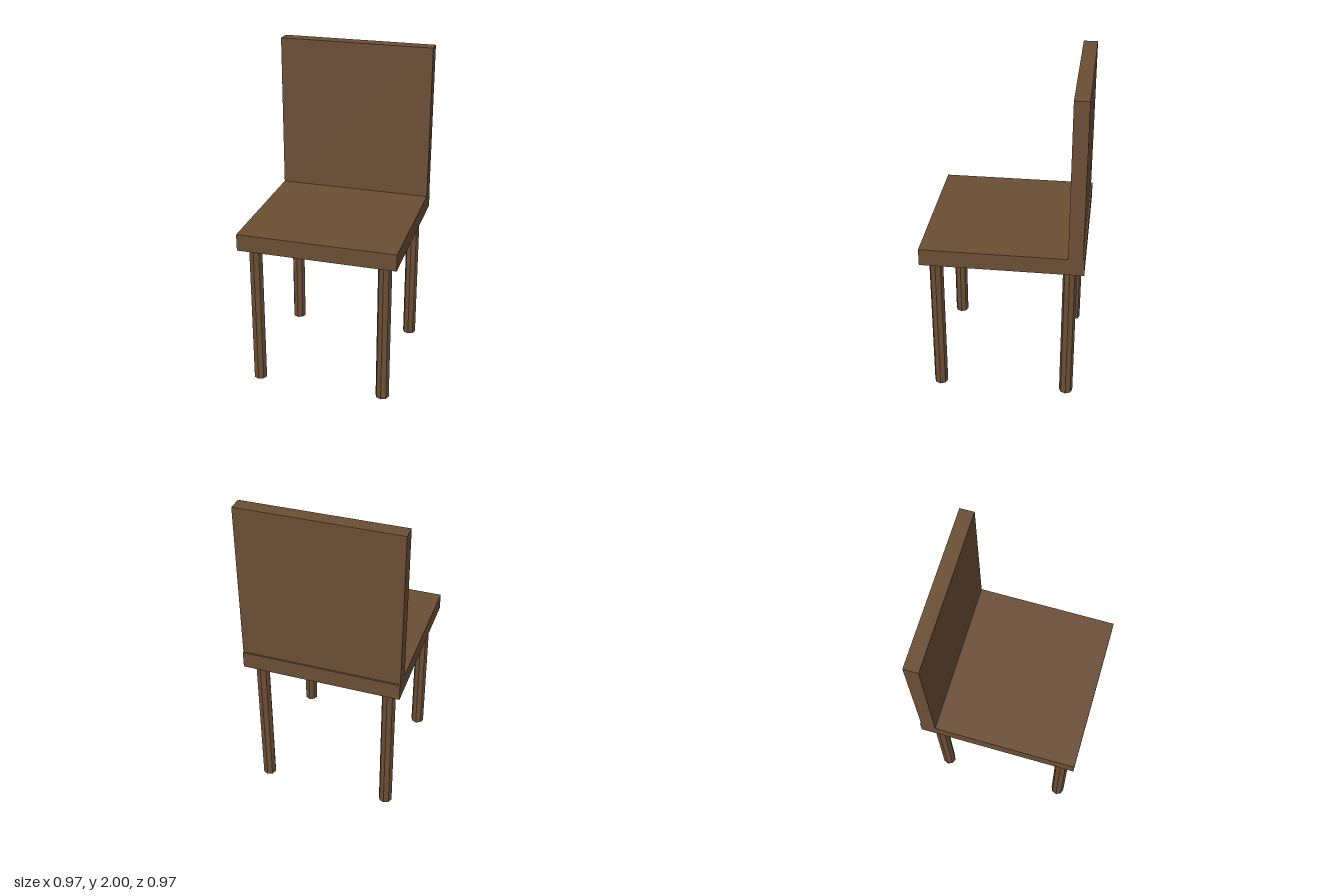
import * as THREE from 'three';

export function createModel() {
  const chair = new THREE.Group();
  chair.name = 'chair';
  const wood = new THREE.MeshStandardMaterial({ color: 0x6b4e35, flatShading: true });
  wood.name = 'brown wood';

  const add = (name, geometry, x, y, z) => {
    const mesh = new THREE.Mesh(geometry, wood);
    mesh.name = name;
    mesh.position.set(x, y, z);
    chair.add(mesh);
  };

  const width = 0.972, seatBottom = 0.922, seatTop = 1.027;

  // Square seat slab
  add('seat', new THREE.BoxGeometry(width, seatTop - seatBottom, width), 0, (seatBottom + seatTop) / 2, 0);

  // Upright panel, set slightly in from the rear edge of the seat
  add('backrest', new THREE.BoxGeometry(width, 2 - seatTop, 0.087), 0, (2 + seatTop) / 2, -0.433);

  // Four low-poly round legs
  const leg = new THREE.CylinderGeometry(0.042, 0.042, seatBottom, 8);
  for (const [side, x] of [['Left', 0.4], ['Right', -0.4]]) {
    for (const [end, z] of [['front', 0.4], ['back', -0.4]]) {
      add(`${end}${side}Leg`, leg, x, seatBottom / 2, z);
    }
  }
  return chair;
}
